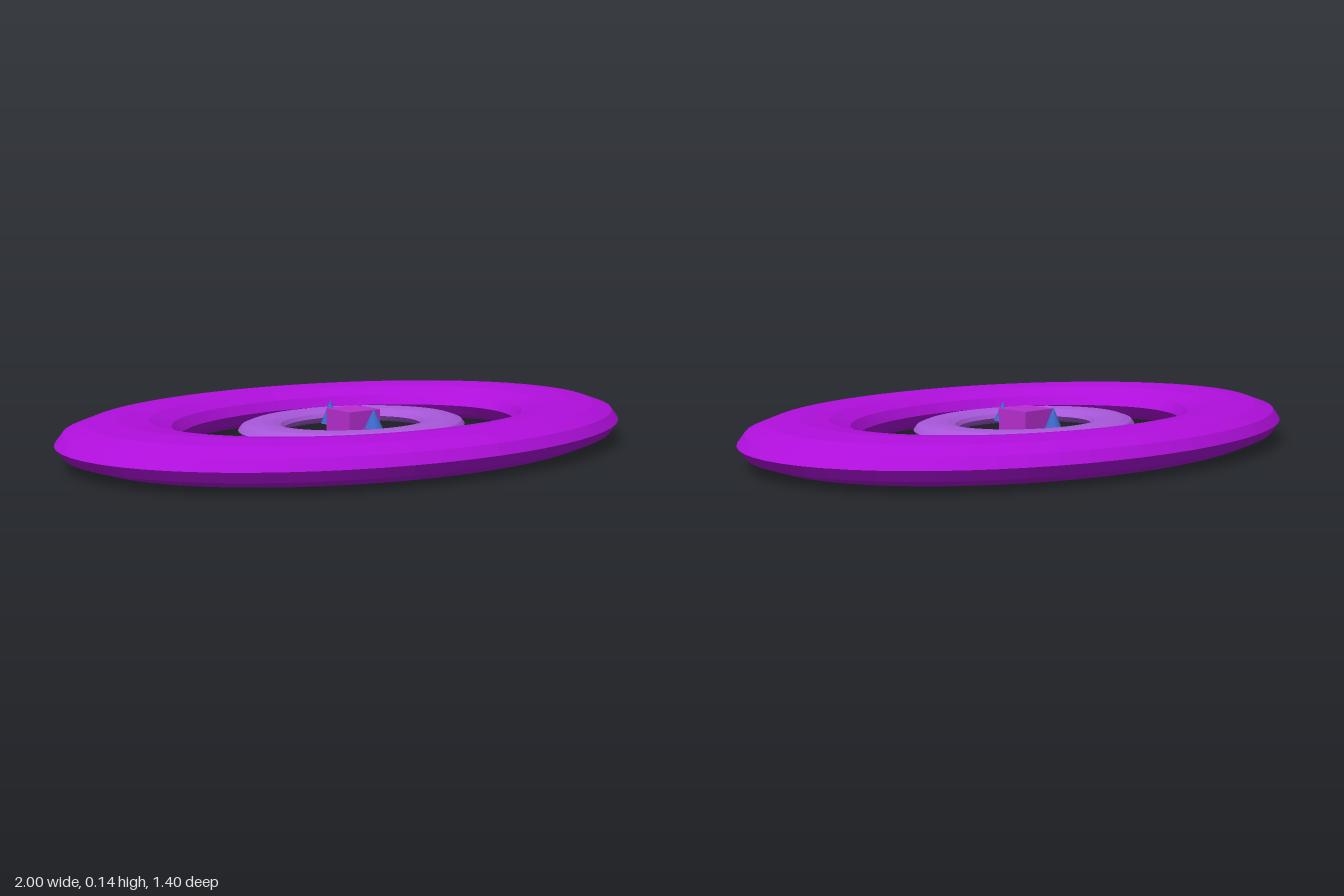
import * as THREE from 'three';

const material = (name, color) => {
  const m = new THREE.MeshStandardMaterial({ color, flatShading: true });
  m.name = name;
  return m;
};

export function createModel() {
  const model = new THREE.Group();
  const violet = material('violet', 0xb00fdc);
  const lavender = material('lavender', 0xa858da);
  const orchid = material('orchid', 0xb82ed0);
  const blue = material('blue', 0x3a6ac8);

  const add = (name, geometry, mat, y, z = 0) => {
    const mesh = new THREE.Mesh(geometry, mat);
    mesh.name = name;
    mesh.position.set(0, y, z);
    model.add(mesh);
  };

  // Flattened oval ring lying on the ground plane
  const ring = (radius, tube, depth) =>
    new THREE.TorusGeometry(radius, tube, 12, 64).rotateX(Math.PI / 2).scale(1, 0.33, depth);

  add('outerRing', ring(0.8, 0.2, 0.702), violet, 0.07);
  add('innerRing', ring(0.317, 0.078, 0.8), lavender, 0.07);

  // Cube in the middle
  add('centreCube', new THREE.BoxGeometry(0.125, 0.125, 0.125), orchid, 0.0625);

  // Small cones behind and in front of the cube
  add('backCone', new THREE.ConeGeometry(0.032, 0.078, 16), blue, 0.101, -0.126);
  add('frontCone', new THREE.ConeGeometry(0.03, 0.062, 16), blue, 0.106, 0.109);

  return model;
}
